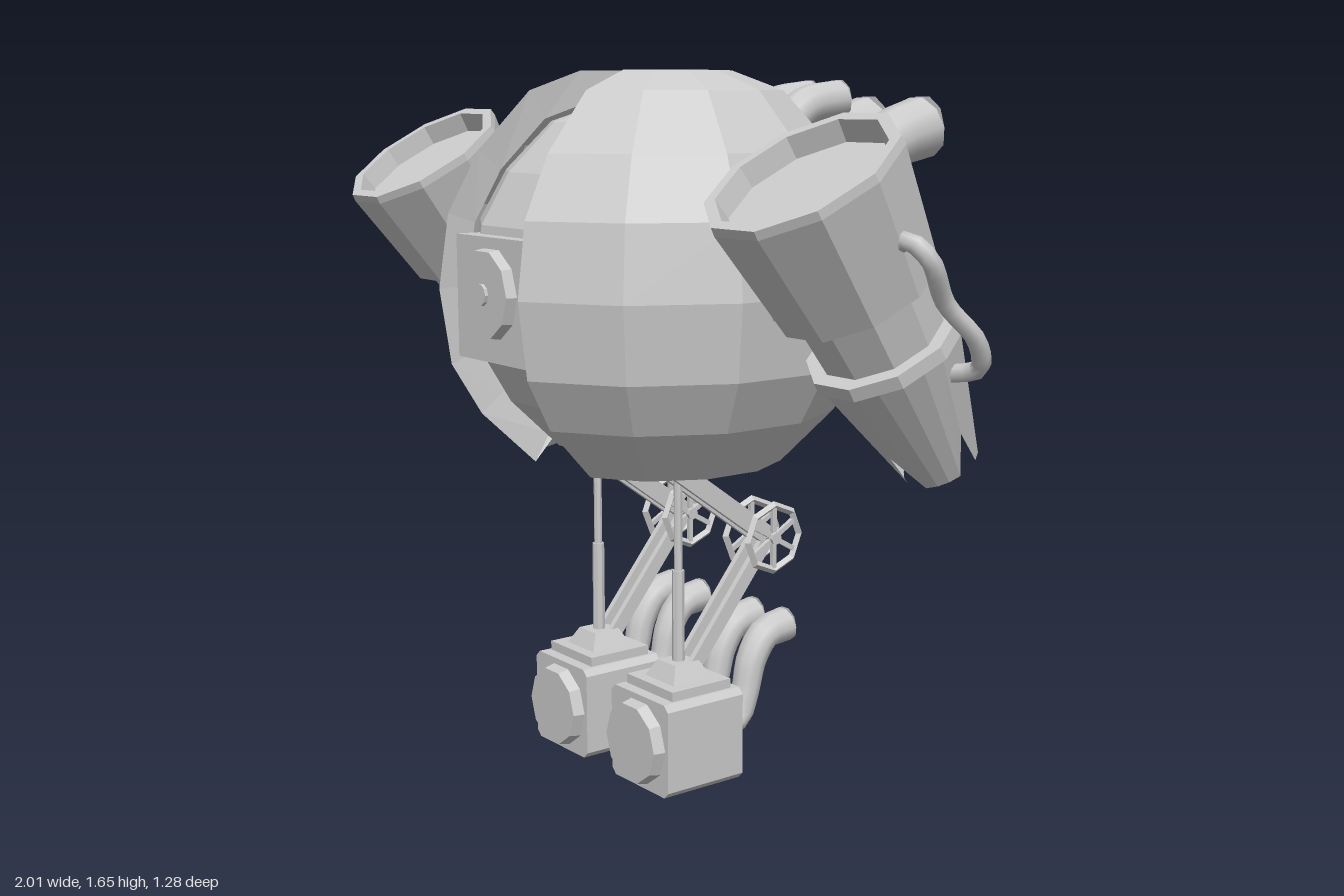
import * as THREE from 'three';

const mat = new THREE.MeshStandardMaterial({ color: 0xcccccc, flatShading: true, side: THREE.DoubleSide });
const smooth = new THREE.MeshStandardMaterial({ color: 0xcccccc, side: THREE.DoubleSide });

function add(parent, name, geo, x = 0, y = 0, z = 0, material = mat) {
  const m = new THREE.Mesh(geo, material);
  m.name = name;
  m.position.set(x, y, z);
  parent.add(m);
  return m;
}
const box = (w, h, d) => new THREE.BoxGeometry(w, h, d);
const lathe = (pts, n, start = 0) =>
  new THREE.LatheGeometry(pts.map(p => new THREE.Vector2(p[0], p[1])), n, start);

// Short cylinder whose axis points along z
const disc = (r, depth, n, r2 = r) =>
  new THREE.CylinderGeometry(r2, r, depth, n).rotateY(Math.PI / n).rotateX(Math.PI / 2);

// Curved pipe whose radius grows from r0 to r1, closed by a disc facing -z
function pipe(parent, name, pts, r0, r1) {
  const curve = new THREE.CatmullRomCurve3(pts.map(p => new THREE.Vector3(...p)));
  const steps = 14, sides = 10;
  const geo = new THREE.TubeGeometry(curve, steps, 1, sides);
  const pos = geo.attributes.position, v = new THREE.Vector3();
  for (let i = 0; i <= steps; i++) {
    const c = curve.getPointAt(i / steps);
    for (let j = 0; j <= sides; j++) {
      const k = i * (sides + 1) + j;
      v.fromBufferAttribute(pos, k).sub(c).multiplyScalar(r0 + (r1 - r0) * i / steps).add(c);
      pos.setXYZ(k, v.x, v.y, v.z);
    }
  }
  add(parent, name, geo, 0, 0, 0, smooth);
  const e = pts[pts.length - 1];
  add(parent, name + 'End', new THREE.CircleGeometry(r1, sides).rotateY(Math.PI), e[0], e[1], e[2]);
}

// Flat bar between two [z, y] points
function bar(parent, name, x, a, b, w, t) {
  const dz = b[0] - a[0], dy = b[1] - a[1];
  const m = add(parent, name, box(t, Math.hypot(dz, dy), w), x, (a[1] + b[1]) / 2, (a[0] + b[0]) / 2);
  m.rotation.x = Math.atan2(dz, dy);
}

const CY = 1.18, CZ = 0.14;
// Body rings: radius, height
const rings = [[0.155, 1.655], [0.28, 1.61], [0.405, 1.476], [0.48, 1.335], [0.505, 1.165],
  [0.48, 0.99], [0.41, 0.87], [0.28, 0.745]];

// Half shell, offset sideways to leave the gap, with rims folded inward
function halfShell() {
  const rows = [[0, 1.655], ...rings, [0.235, 0.8]];
  const cols = [[15, 0.85], [15, 1], [45, 1], [75, 1], [105, 1], [135, 1], [165, 1], [165, 0.85]];
  const pos = [], index = [];
  for (const [r, y] of rows) for (const [deg, s] of cols) {
    const a = deg * Math.PI / 180;
    pos.push(0.05 + 0.9 * r * Math.sin(a), CY + (y - CY) * s, CZ + r * Math.cos(a) * s);
  }
  const n = cols.length;
  for (let i = 0; i < rows.length - 1; i++) for (let j = 0; j < n - 1; j++) {
    const a = i * n + j, b = a + n;
    index.push(a, b, a + 1, b, b + 1, a + 1);
  }
  const geo = new THREE.BufferGeometry();
  geo.setAttribute('position', new THREE.Float32BufferAttribute(pos, 3));
  geo.setIndex(index);
  geo.computeVertexNormals();
  return geo;
}

function buildBody(root) {
  const body = new THREE.Group();
  body.name = 'body';
  root.add(body);
  const shell = halfShell();
  add(body, 'leftShell', shell);
  add(body, 'rightShell', shell).scale.x = -1;

  // Recessed inner core, closed at both ends
  const core = rings.map(([r, y]) => [r * 0.88, (y - CY) * (y > CY ? 0.835 : 0.9)]).reverse();
  add(body, 'core', lathe([[0, core[0][1]], ...core, [0, core[core.length - 1][1]]], 12, Math.PI / 12), 0, CY, CZ);

  // Front plate with round lamp
  add(body, 'frontPlate', box(0.3, 0.28, 0.1), 0, 1.15, 0.54);
  add(body, 'lamp', disc(0.105, 0.03, 10, 0.1), 0, 1.165, 0.6);
  add(body, 'lampHub', disc(0.025, 0.01, 10), 0, 1.165, 0.618);
  add(body, 'hipBar', box(0.42, 0.05, 0.09), 0, 0.77, 0.22);

  // Exhaust pipes on the back
  for (const s of [1, -1]) {
    pipe(body, 'largeExhaust', [[s * 0.1, 1.13, -0.28], [s * 0.1, 1.15, -0.36], [s * 0.1, 1.25, -0.4],
      [s * 0.1, 1.4, -0.43], [s * 0.1, 1.48, -0.5], [s * 0.1, 1.52, -0.63]], 0.05, 0.08);
    pipe(body, 'smallExhaust', [[s * 0.055, 1.43, -0.13], [s * 0.055, 1.51, -0.2],
      [s * 0.055, 1.57, -0.27], [s * 0.055, 1.59, -0.385]], 0.047, 0.048);
  }
}

function buildArm(root, s) {
  const arm = new THREE.Group();
  arm.name = s > 0 ? 'leftArm' : 'rightArm';
  arm.scale.x = s;
  root.add(arm);

  const link = add(arm, 'shoulderLink', new THREE.CylinderGeometry(0.035, 0.06, 0.22, 8), 0.54, 1.16, 0.145);
  link.rotation.z = -Math.PI / 2;

  // Barrel lies along local y, muzzle at the origin
  const barrel = new THREE.Group();
  barrel.name = 'barrel';
  barrel.position.set(0.75, 1.455, 0.34);
  barrel.rotation.x = 0.57;
  arm.add(barrel);
  add(barrel, 'barrelBody', lathe([[0, -0.52], [0.13, -0.5], [0.155, -0.445], [0.172, -0.445], [0.17, -0.415],
    [0.137, -0.415], [0.147, -0.29], [0.177, -0.29], [0.214, -0.02], [0.212, 0], [0.187, 0],
    [0.18, -0.05], [0, -0.05]], 10, Math.PI / 10));

  // Tapered tail with four V notches
  const tail = new THREE.CylinderGeometry(0.163, 0.085, 0.31, 20, 1, true);
  const p = tail.attributes.position;
  for (let j = 0; j <= 20; j += 5) {
    const k = 21 + j;
    p.setXYZ(k, p.getX(k) * 1.3, p.getY(k) + 0.1, p.getZ(k) * 1.3);
  }
  add(barrel, 'tailClaws', tail, 0, -0.595, 0);

  // Outer handle
  const curve = new THREE.CatmullRomCurve3([[0.9, 1.3, 0.24], [0.95, 1.325, 0.24], [0.985, 1.29, 0.215],
    [0.965, 1.2, 0.15], [0.975, 1.12, 0.07], [0.95, 1.06, 0.035], [0.87, 1.04, 0.05]]
    .map(q => new THREE.Vector3(...q)));
  add(arm, 'handle', new THREE.TubeGeometry(curve, 20, 0.02, 8), 0, 0, 0, smooth);
}

function buildLeg(root, s) {
  const leg = new THREE.Group();
  leg.name = s > 0 ? 'leftLeg' : 'rightLeg';
  leg.position.x = s * 0.165;
  root.add(leg);

  // Foot block: square with clipped corners
  const h = 0.112, c = 0.015;
  const shape = new THREE.Shape([[-h + c, -h], [h - c, -h], [h, -h + c], [h, h - c], [h - c, h], [-h + c, h],
    [-h, h - c], [-h, -h + c]].map(q => new THREE.Vector2(...q)));
  add(leg, 'foot', new THREE.ExtrudeGeometry(shape, { depth: 0.22, bevelEnabled: false }), 0, h, 0.095);
  add(leg, 'footCap', disc(0.102, 0.03, 10, 0.095), 0, h, 0.328);
  add(leg, 'anklePlate', box(0.18, 0.025, 0.17), 0, 0.234, 0.2);
  const ankle = new THREE.CylinderGeometry(0.05, 0.08, 0.04, 4).rotateY(Math.PI / 4);
  add(leg, 'ankle', ankle, 0, 0.266, 0.2);

  // Piston
  add(leg, 'pistonSleeve', new THREE.CylinderGeometry(0.015, 0.015, 0.23, 8), 0, 0.39, 0.2);
  add(leg, 'pistonRod', new THREE.CylinderGeometry(0.01, 0.01, 0.3, 8), 0, 0.63, 0.2);

  // Struts and knee wheels in mirrored pairs
  const knee = [-0.055, 0.552];
  for (const m of [1, -1]) {
    bar(leg, 'upperStrut', m * 0.024, [0.25, 0.77], knee, 0.045, 0.015);
    bar(leg, 'lowerStrut', m * 0.022, knee, [0.18, 0.26], 0.035, 0.015);
    const wheel = new THREE.Group();
    wheel.name = 'kneeWheel';
    wheel.position.set(m * 0.042, knee[1], knee[0]);
    leg.add(wheel);
    add(wheel, 'rim', new THREE.TorusGeometry(0.08, 0.01, 4, 8).rotateY(Math.PI / 2));
    for (let i = 0; i < 3; i++)
      add(wheel, 'spoke', box(0.01, 0.15, 0.012)).rotation.x = i * Math.PI / 3;
  }
  add(leg, 'kneeAxle', new THREE.CylinderGeometry(0.015, 0.015, 0.11, 8).rotateZ(Math.PI / 2), 0, knee[1], knee[0]);

  // Foot exhausts
  for (const x of [0.058, -0.058])
    pipe(leg, 'footExhaust', [[x, 0.13, 0.12], [x, 0.13, 0.07], [x, 0.19, 0.045], [x, 0.27, 0.025],
      [x, 0.325, -0.015], [x, 0.338, -0.08]], 0.03, 0.042);
}

export function createModel() {
  const root = new THREE.Group();
  root.name = 'walkingRobot';
  buildBody(root);
  for (const s of [1, -1]) {
    buildArm(root, s);
    buildLeg(root, s);
  }
  return root;
}
